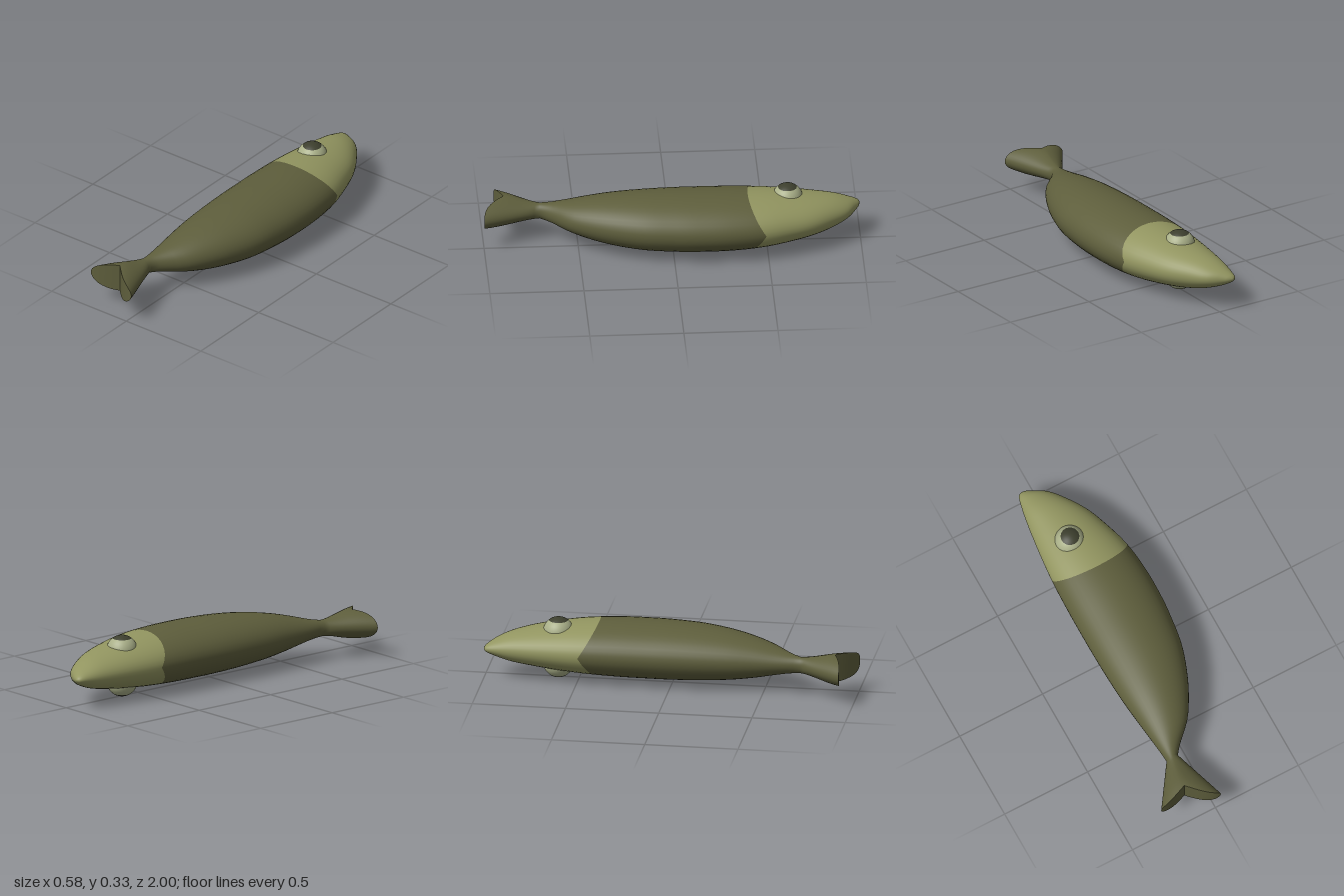
import * as THREE from 'three';

const N = 40;          // points around each cross-section
const CY = 0.1665;     // height of the centre plane
const SEAM = -0.485;   // where the head meets the body
const NECK = 0.7;      // where the tail fin begins

// Cross-sections: z, right edge x, left edge x, half thickness
const sections = [
  [-1, -0.085, -0.08, 0.003],
  [-0.995, -0.1, -0.058, 0.013],
  [-0.98, -0.111, -0.03, 0.025],
  [-0.94, -0.122, 0.037, 0.047],
  [-0.86, -0.138, 0.105, 0.078],
  [-0.75, -0.154, 0.175, 0.102],
  [-0.63, -0.168, 0.222, 0.121],
  [-0.48, -0.181, 0.266, 0.138],
  [-0.3, -0.187, 0.287, 0.148],
  [-0.12, -0.188, 0.287, 0.15],
  [0, -0.187, 0.277, 0.149],
  [0.16, -0.182, 0.253, 0.142],
  [0.32, -0.172, 0.2, 0.126],
  [0.45, -0.158, 0.138, 0.103],
  [0.555, -0.146, 0.07, 0.077],
  [0.645, -0.136, -0.02, 0.053],
  [0.7, -0.132, -0.064, 0.044],
];

// Smooth interpolation of the section table at a given z
function sectionAt(z) {
  const last = sections.length - 1;
  let i = 0;
  while (i < last - 1 && z > sections[i + 1][0]) i++;
  const a = sections[i], b = sections[i + 1], h = b[0] - a[0];
  const t = THREE.MathUtils.clamp((z - a[0]) / h, 0, 1);
  const slope = (k, c) => {
    const p = sections[Math.max(k - 1, 0)], q = sections[Math.min(k + 1, last)];
    return (q[c] - p[c]) / (q[0] - p[0]);
  };
  return [1, 2, 3].map((c) =>
    a[c] * (1 + 2 * t) * (1 - t) ** 2 + b[c] * t * t * (3 - 2 * t) +
    h * (slope(i, c) * t * (1 - t) ** 2 - slope(i + 1, c) * t * t * (1 - t)));
}

// Point on the body; rings bow backwards around the head seam
function bodyPoint(s, angle) {
  const falloff = s < SEAM ? (s + 1) / (SEAM + 1) : (NECK - s) / (NECK - SEAM);
  const z = s + 0.088 * Math.abs(Math.sin(angle)) * falloff;
  const [x0, x1, h] = sectionAt(z);
  return [(x0 + x1) / 2 + (x1 - x0) / 2 * Math.cos(angle), CY + h * Math.sin(angle), z];
}

// Point on the tail fin, t from 0 at the neck to 1 at the forked end
function tailPoint(t, angle) {
  const u = Math.cos(angle), ease = t * t * (3 - 2 * t);
  const end = 0.89 + (u > 0 ? 0.11 : 0.042) * Math.sin(Math.abs(u) * Math.PI / 2);
  const lerp = THREE.MathUtils.lerp;
  return [
    lerp(-0.098, -0.128, t) + lerp(0.034, 0.162, t) * u,
    CY + lerp(0.044, 0.077, ease) * Math.sin(angle),
    lerp(NECK, end, t),
  ];
}

function makeGeometry(positions, index) {
  const g = new THREE.BufferGeometry();
  g.setAttribute('position', new THREE.Float32BufferAttribute(positions, 3));
  g.setIndex(index);
  g.computeVertexNormals();
  return g;
}

// Whole skin from nose to tail, split into head and body colours
function skinGeometry() {
  const rings = [];
  const headRows = 20, bodyRows = 32, tailRows = 10;
  const ring = (f, v) => rings.push(Array.from({ length: N }, (_, j) => f(v, j / N * Math.PI * 2)));
  for (let i = 0; i <= headRows; i++) ring(bodyPoint, -1 + (SEAM + 1) * (i / headRows) ** 2);
  for (let i = 1; i <= bodyRows; i++) ring(bodyPoint, SEAM + (NECK - SEAM) * i / bodyRows);
  for (let i = 1; i <= tailRows; i++) ring(tailPoint, i / tailRows);
  const index = [];
  for (let i = 0; i < rings.length - 1; i++) {
    for (let j = 0; j < N; j++) {
      const k = (j + 1) % N, a = i * N, b = a + N;
      index.push(a + j, a + k, b + j, a + k, b + k, b + j);
    }
  }
  // Nose tip
  const tip = rings.length * N;
  for (let j = 0; j < N; j++) index.push(tip, (j + 1) % N, j);
  const g = makeGeometry([...rings.flat(2), -0.082, CY, -1], index);
  const headCount = headRows * N * 6;
  g.addGroup(0, headCount, 0);
  g.addGroup(headCount, index.length - N * 3 - headCount, 1);
  g.addGroup(index.length - N * 3, N * 3, 0);
  return g;
}

// One rounded lobe of the tail's end face
function lobeGeometry(from, to) {
  const positions = [], index = [];
  for (let j = from; j <= to; j++) {
    const angle = j / N * Math.PI * 2;
    positions.push(...tailPoint(1, angle), ...tailPoint(1, -angle));
    if (j < to) {
      const a = (j - from) * 2;
      index.push(a, a + 2, a + 3, a, a + 3, a + 1);
    }
  }
  return makeGeometry(positions, index);
}

export function createModel() {
  const material = (name, color) => {
    const m = new THREE.MeshStandardMaterial({ color });
    m.name = name;
    return m;
  };
  const olive = material('body olive', 0x5e5e3c);
  const paleOlive = material('head olive', 0x929560);
  const eyeGreen = material('eye green', 0xa9af88);
  const dark = material('pupil dark', 0x3d3f2e);

  const model = new THREE.Group();
  model.name = 'fish';
  const add = (parent, name, geometry, mat) => {
    const mesh = new THREE.Mesh(geometry, mat);
    mesh.name = name;
    parent.add(mesh);
  };

  add(model, 'headBodyAndTail', skinGeometry(), [paleOlive, olive]);
  add(model, 'leftTailLobe', lobeGeometry(0, N / 4), olive);
  add(model, 'rightTailLobe', lobeGeometry(N / 4, N / 2), olive);

  // Bulging eyes on the upper and lower flanks, each with a pupil cap
  const R = 0.083, pupilAngle = 0.64;
  for (const side of [1, -1]) {
    const eye = new THREE.Group();
    eye.name = side > 0 ? 'upperEye' : 'lowerEye';
    eye.position.set(-0.003, CY + side * (CY - R), -0.612);
    if (side < 0) eye.rotation.z = Math.PI;
    add(eye, 'eyeball', new THREE.SphereGeometry(R, 32, 16, 0, Math.PI * 2, pupilAngle, Math.PI - pupilAngle), eyeGreen);
    add(eye, 'pupil', new THREE.SphereGeometry(R, 32, 6, 0, Math.PI * 2, 0, pupilAngle), dark);
    model.add(eye);
  }
  return model;
}
